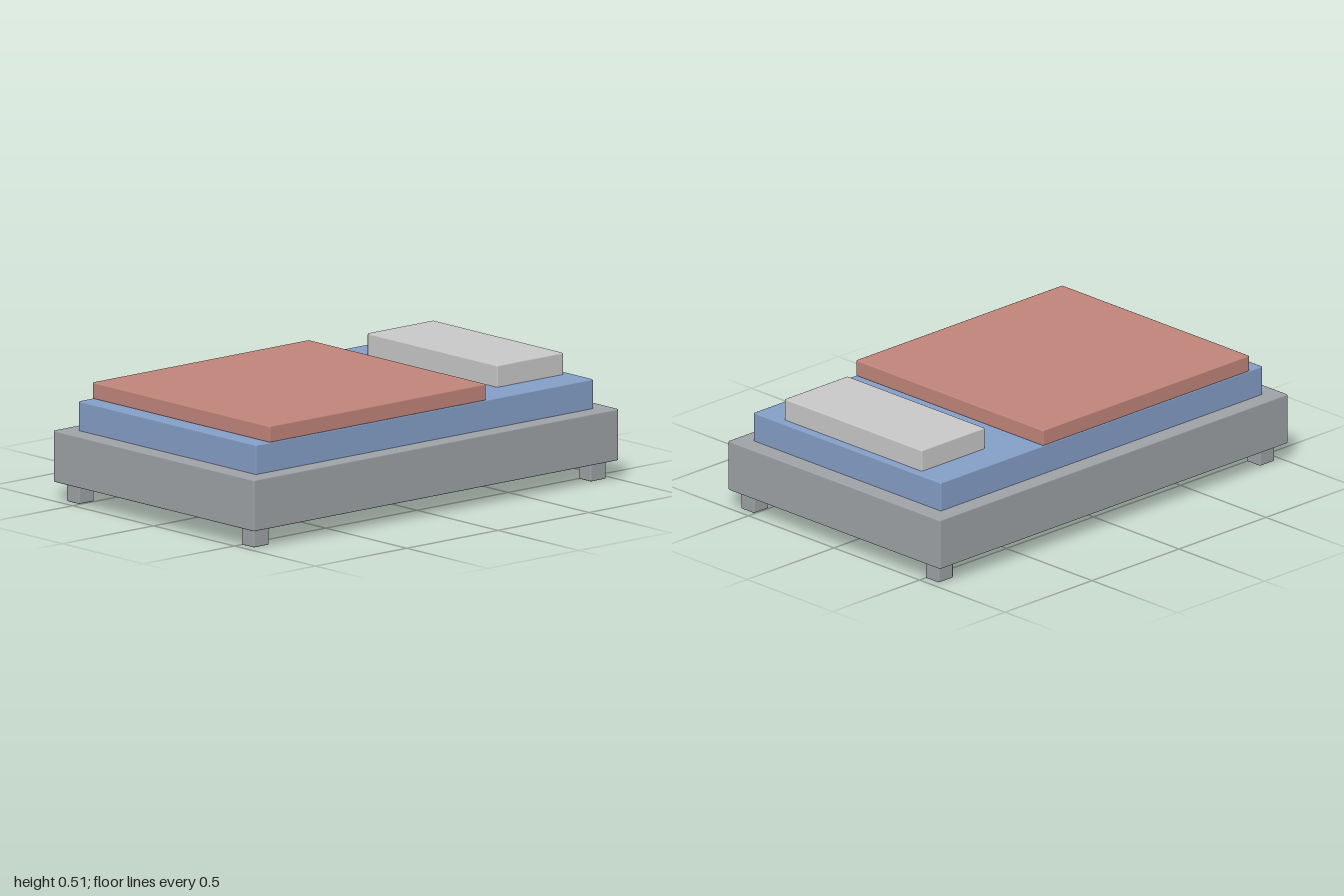
import * as THREE from 'three';
import { RoundedBoxGeometry } from 'three/addons/geometries/RoundedBoxGeometry.js';

function material(name, color) {
  const m = new THREE.MeshStandardMaterial({ color });
  m.name = name;
  return m;
}

export function createModel() {
  const grey = material('frameGrey', 0x9fa3a7);
  const blue = material('mattressBlue', 0x859fc8);
  const red = material('blanketRed', 0xc2857b);
  const pale = material('paleGrey', 0xc9c9c9);

  const group = new THREE.Group();
  group.name = 'bed';

  // Soft-edged box given by its [min, max] extents
  function box(name, mat, [x0, x1], [y0, y1], [z0, z1], radius = 0.006) {
    const geometry = new RoundedBoxGeometry(x1 - x0, y1 - y0, z1 - z0, 1, radius);
    const mesh = new THREE.Mesh(geometry, mat);
    mesh.name = name;
    mesh.position.set((x0 + x1) / 2, (y0 + y1) / 2, (z0 + z1) / 2);
    group.add(mesh);
  }

  // Base and bedding
  box('frame', grey, [-0.62, 0.62], [0.08, 0.297], [-1, 1]);
  box('mattress', blue, [-0.548, 0.548], [0.28, 0.421], [-0.925, 0.925]);
  box('blanket', red, [-0.548, 0.548], [0.419, 0.489], [-0.337, 0.85]);
  box('pillow', pale, [-0.402, 0.402], [0.415, 0.513], [-0.89, -0.527]);

  // Four short legs
  for (const x of [-0.54, 0.54]) {
    for (const z of [-0.925, 0.922]) {
      box('leg', grey, [x - 0.039, x + 0.039], [0, 0.09], [z - 0.042, z + 0.042]);
    }
  }

  // Pair of slippers tucked against the underside
  for (const x of [0.255, 0.401]) {
    box('slipper', pale, [x - 0.036, x + 0.036], [0.066, 0.11], [-0.81, -0.676]);
  }

  return group;
}
